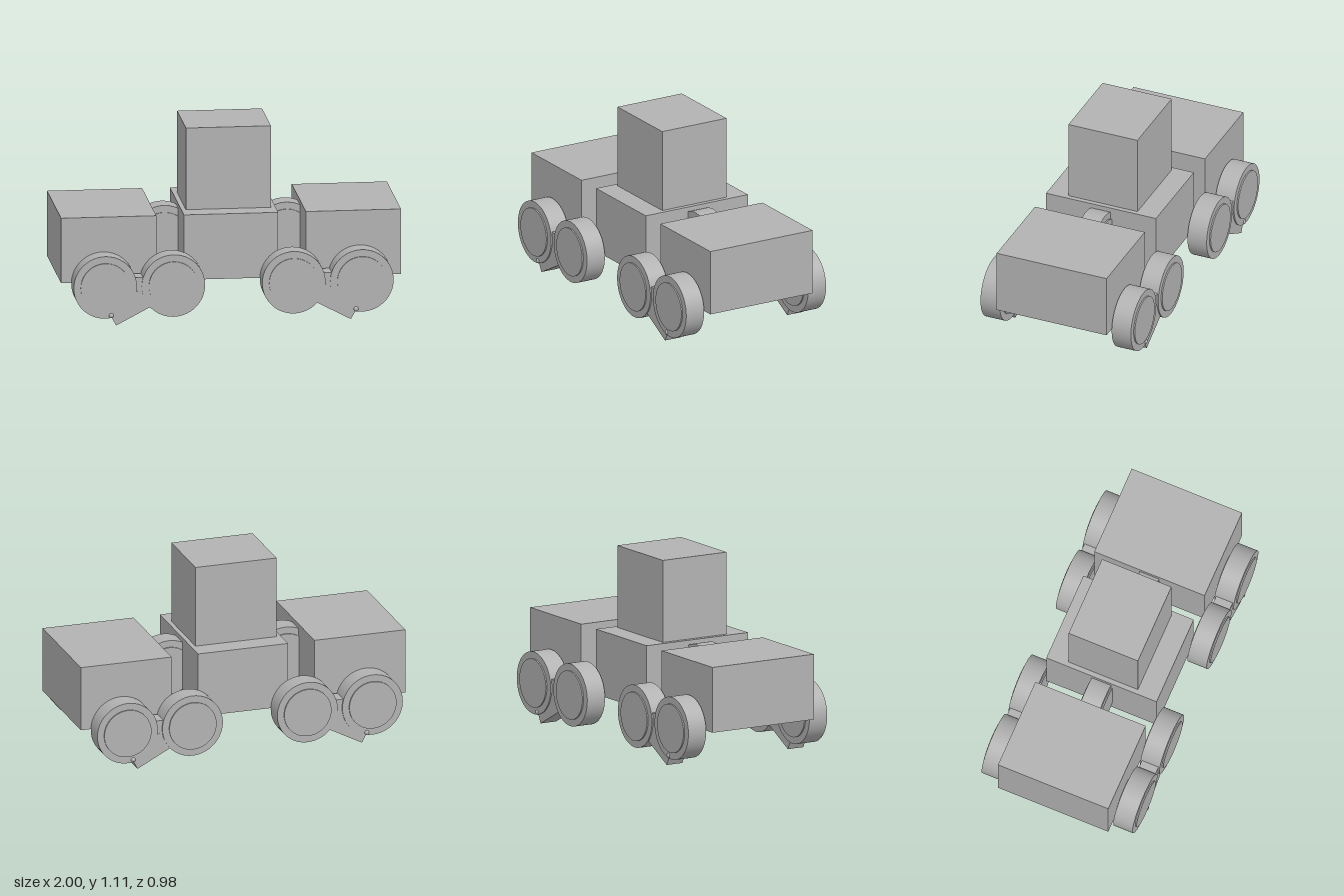
import * as THREE from 'three';

export function createModel() {
  const model = new THREE.Group();
  const grey = new THREE.MeshStandardMaterial({ color: 0xb2b2b2 });
  grey.name = 'plain grey';

  const add = (parent, name, geometry, x, y, z) => {
    const mesh = new THREE.Mesh(geometry, grey);
    mesh.name = name;
    mesh.position.set(x, y, z);
    parent.add(mesh);
    return mesh;
  };
  const box = (parent, name, w, h, d, x, y, z) =>
    add(parent, name, new THREE.BoxGeometry(w, h, d), x, y, z);

  // Wide disc with a slightly proud hub on both faces, axle along z
  const wheel = (parent, name, x, y, z) => {
    const group = new THREE.Group();
    group.name = name;
    group.position.set(x, y, z);
    const disc = (part, r, depth) =>
      add(group, part, new THREE.CylinderGeometry(r, r, depth, 64).rotateX(Math.PI / 2), 0, 0, 0);
    disc('tyre', 0.186, 0.122);
    disc('hub', 0.145, 0.138);
    parent.add(group);
  };

  // Three body blocks and the tall cab
  box(model, 'middleBlock', 0.555, 0.39, 0.7, 0, 0.435, 0);
  box(model, 'cab', 0.5, 0.49, 0.44, 0, 0.875, 0);

  for (const s of [-1, 1]) {
    box(model, 'endBlock', 0.56, 0.39, 0.7, s * 0.72, 0.435, 0);
    // Upright disc coupling the end block to the middle block
    wheel(model, 'couplingDisc', s * 0.36, 0.435, 0);

    for (const side of [-1, 1]) {
      const bogie = new THREE.Group();
      bogie.name = 'bogie';
      model.add(bogie);
      const z = side * 0.418;
      wheel(bogie, 'outerWheel', s * 0.755, 0.237, z);
      wheel(bogie, 'innerWheel', s * 0.354, 0.237, z);

      // Level link between the wheels and slanted foot below it
      box(bogie, 'link', 0.28, 0.13, 0.105, s * 0.555, 0.225, z);
      const foot = box(bogie, 'slantedFoot', 0.28, 0.12, 0.107, s * 0.595, 0.124, z);
      foot.rotation.z = -s * 0.483;

      // Axle tip inside and small stud on the outer wheel
      add(bogie, 'axleTip', new THREE.OctahedronGeometry(0.022), s * 0.75, 0.24, side * 0.32);
      add(bogie, 'stud', new THREE.SphereGeometry(0.016, 16, 12), s * 0.72, 0.068, side * 0.472);
    }
  }
  return model;
}
